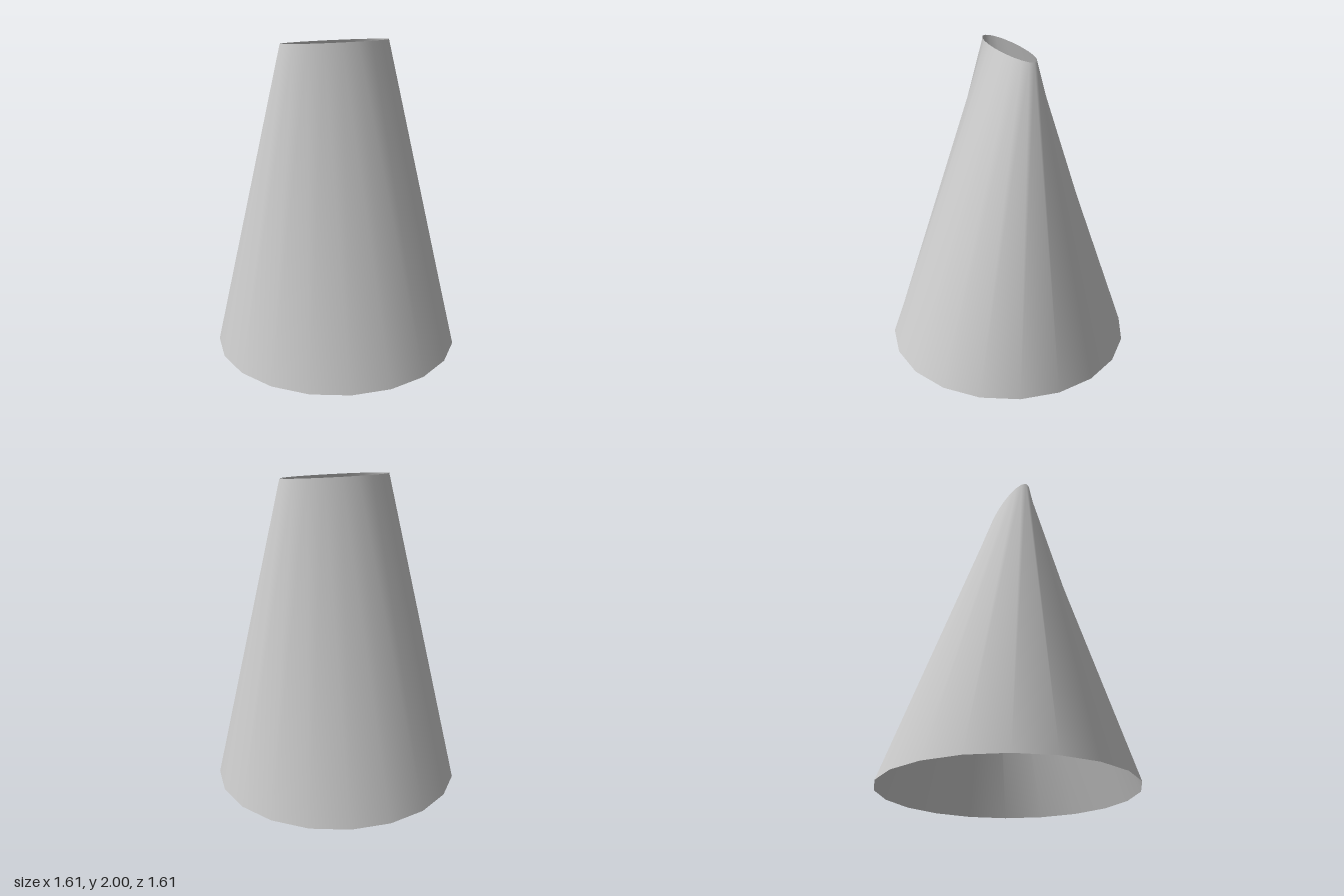
import * as THREE from 'three';
import { mergeVertices } from 'three/addons/utils/BufferGeometryUtils.js';

const HEIGHT = 2, SIDES = 20;
const BASE_RADIUS = 0.805;
const TOP_X = 0.372, TOP_Z = 0.08;

export function createModel() {
  const group = new THREE.Group();
  group.name = 'taperedNozzle';

  // Open tube, round at the base and pinched to a narrow ellipse at the top
  let geometry = new THREE.CylinderGeometry(1, 1, HEIGHT, SIDES, 1, true);
  geometry.translate(0, HEIGHT / 2, 0);
  const p = geometry.attributes.position;
  for (let i = 0; i < p.count; i++) {
    const top = p.getY(i) > HEIGHT / 2;
    p.setX(i, p.getX(i) * (top ? TOP_X : BASE_RADIUS));
    p.setZ(i, p.getZ(i) * (top ? TOP_Z : BASE_RADIUS));
  }

  // Join the seam so the wall shades smoothly all the way round
  geometry.deleteAttribute('uv');
  geometry.deleteAttribute('normal');
  geometry = mergeVertices(geometry);
  geometry.computeVertexNormals();

  const wall = new THREE.Mesh(
    geometry,
    new THREE.MeshStandardMaterial({ color: 0xcccccc, side: THREE.DoubleSide })
  );
  wall.name = 'nozzleWall';
  group.add(wall);
  return group;
}
